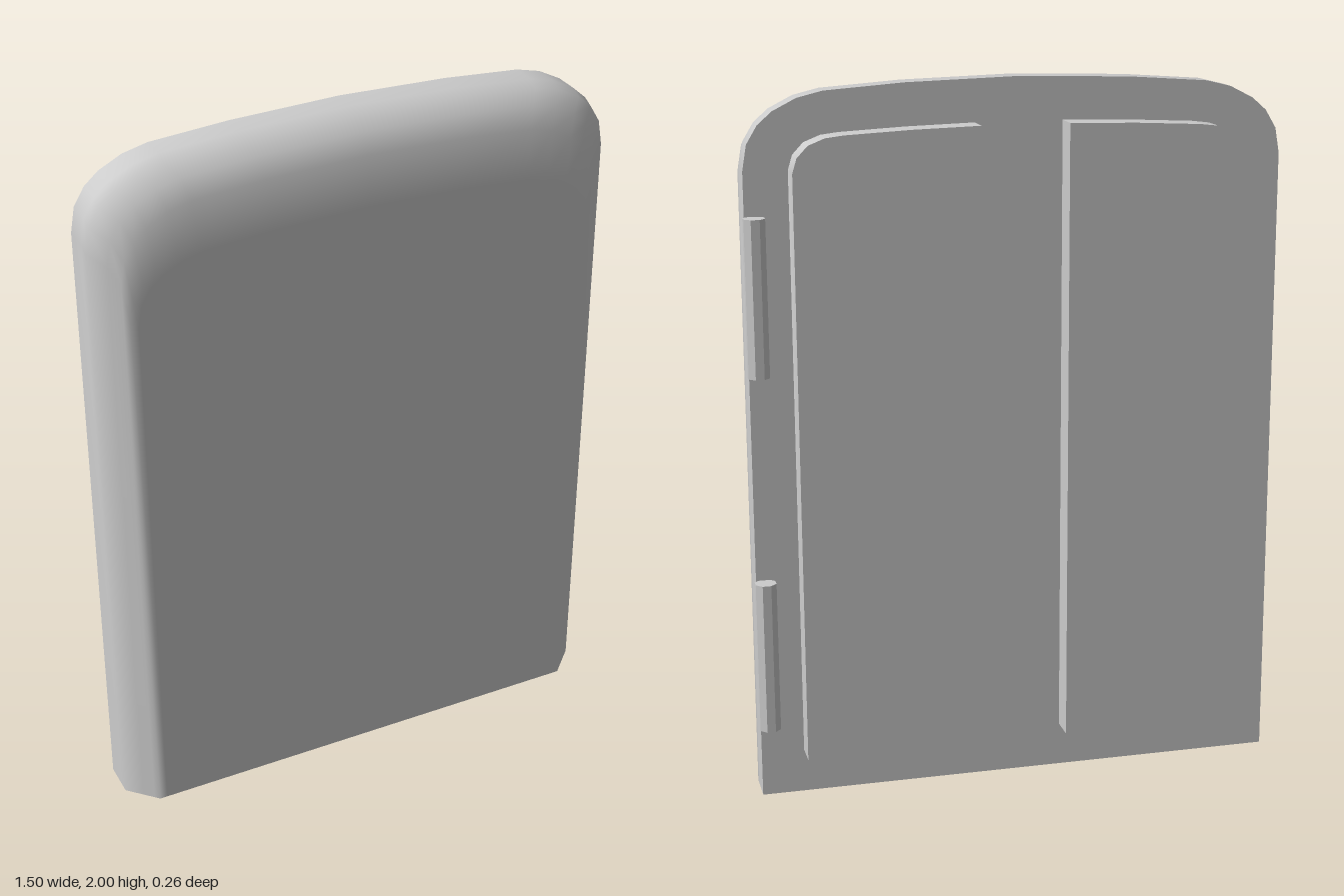
import * as THREE from 'three';
import { toCreasedNormals } from 'three/addons/utils/BufferGeometryUtils.js';

const material = new THREE.MeshStandardMaterial({ color: 0xcccccc });

// Half of the arched outline, mirrored into an open loop: bottom right, over the top, bottom left
const half = [[0.747, 0], [0.747, 1.77], [0.735, 1.84], [0.705, 1.89], [0.665, 1.925],
  [0.6, 1.958], [0.53, 1.975], [0.31, 1.991]];
const outline = [...half, [0, 2], ...half.map(([x, y]) => [-x, y]).reverse()];

// Cross-sections from back to front: [z, side inset, top inset]
const sections = [[-0.052, 0, 0], [0.02, 0, 0], [0.05, 0, 0.014], [0.09, 0.04, 0.045],
  [0.115, 0.065, 0.1], [0.128, 0.078, 0.21], [0.128, 0.1, 0.24]];

function slabGeometry() {
  const rings = sections.map(([z, side, top]) => outline.map(([x, y]) =>
    [x * (1 - side / 0.747), y * (1 - top / 2), z]));
  const positions = [];
  const fan = (points) => {
    for (let i = 1; i < points.length - 1; i++) positions.push(...points[0], ...points[i], ...points[i + 1]);
  };
  for (let k = 0; k < rings.length - 1; k++) {
    for (let j = 0; j < outline.length - 1; j++) {
      fan([rings[k][j], rings[k][j + 1], rings[k + 1][j + 1], rings[k + 1][j]]);
    }
  }
  const last = outline.length - 1;
  fan(rings[rings.length - 1]); // front face
  fan([...rings[0]].reverse()); // back face
  fan([...rings.map((r) => r[0]), ...rings.map((r) => r[last]).reverse()]); // underside
  const geometry = new THREE.BufferGeometry();
  geometry.setAttribute('position', new THREE.Float32BufferAttribute(positions, 3));
  return toCreasedNormals(geometry, 0.9);
}

// Raised back panel with one rounded outer top corner; side is +1 or -1
function panelGeometry(side) {
  const points = [[0.122, 0.125], [0.627, 0.125], [0.627, 1.77], [0.615, 1.81], [0.585, 1.842],
    [0.54, 1.86], [0.49, 1.866], [0.31, 1.875], [0.122, 1.88]];
  const shape = new THREE.Shape(points.map(([x, y]) => new THREE.Vector2(x * side, y)));
  const geometry = new THREE.ExtrudeGeometry(shape, { depth: 0.076, bevelEnabled: false });
  geometry.translate(0, 0, -0.128);
  return toCreasedNormals(geometry, 0.7);
}

export function createModel() {
  const model = new THREE.Group();
  model.name = 'door';
  const add = (name, geometry, mat = material) => {
    const mesh = new THREE.Mesh(geometry, mat);
    mesh.name = name;
    model.add(mesh);
    return mesh;
  };

  // Arched door with rounded front edges
  add('doorSlab', slabGeometry()).position.x = -0.003;

  // Two raised panels on the back
  for (const side of [1, -1]) {
    add(side > 0 ? 'leftBackPanel' : 'rightBackPanel', panelGeometry(side)).position.x = -0.003;
  }

  // Two octagonal hinge barrels
  const hingeMaterial = material.clone();
  hingeMaterial.flatShading = true;
  const barrel = new THREE.CylinderGeometry(0.031, 0.031, 0.43, 8);
  barrel.rotateY(Math.PI / 8);
  for (const [name, y] of [['lowerHinge', 0.425], ['upperHinge', 1.435]]) {
    add(name, barrel, hingeMaterial).position.set(0.721, y, -0.076);
  }
  return model;
}
